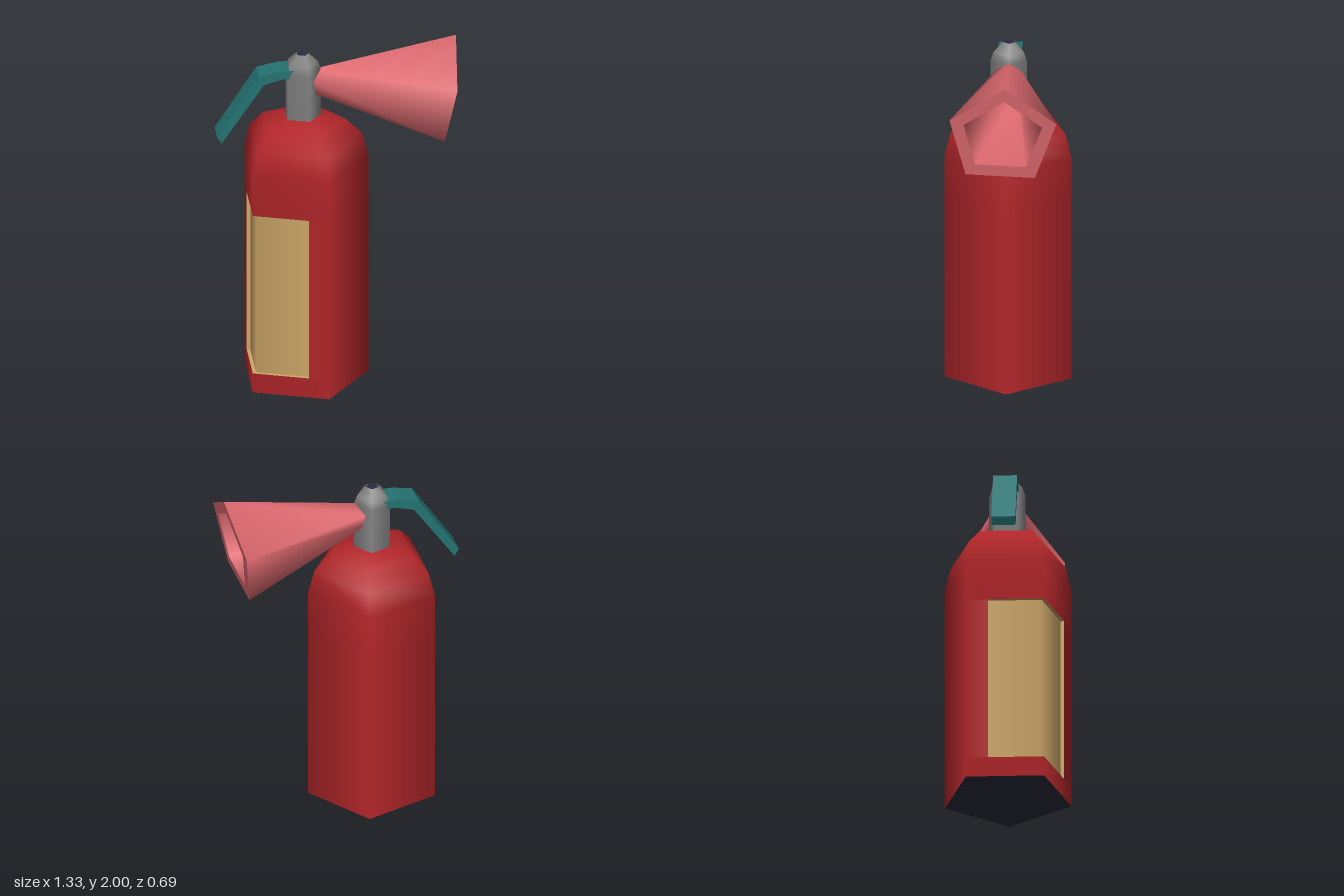
import * as THREE from 'three';

function material(name, color, side = THREE.FrontSide) {
  const m = new THREE.MeshStandardMaterial({ color, side });
  m.name = name;
  return m;
}

export function createModel() {
  const red = material('tank red', 0xb3262a);
  const tan = material('label tan', 0xcda668, THREE.DoubleSide);
  const grey = material('valve grey', 0x828282);
  const teal = material('handle teal', 0x247372);
  const pink = material('horn pink', 0xde6a70);
  const dark = material('cap dark', 0x2a2a40);

  const root = new THREE.Group();
  const body = new THREE.Group();
  body.name = 'body';
  body.position.x = -0.19;
  root.add(body);

  const add = (parent, name, geometry, mat) => {
    const mesh = new THREE.Mesh(geometry, mat);
    mesh.name = name;
    parent.add(mesh);
    return mesh;
  };
  // Five-sided turned part with one corner towards +x
  const turned = (profile) => new THREE.LatheGeometry(
    profile.map(([r, y]) => new THREE.Vector2(r, y)), 5, Math.PI / 2);

  // Upright strip through [x, z] points, optionally with radial normals
  const strip = (pts, y0, y1, radial) => {
    const pos = [], nor = [], idx = [];
    pts.forEach((p, i) => {
      pos.push(p.x, y0, p.y, p.x, y1, p.y);
      const n = p.clone().normalize();
      nor.push(n.x, 0, n.y, n.x, 0, n.y);
      if (i) {
        const b = 2 * i, a = b - 2;
        idx.push(a, b, b + 1, a, b + 1, a + 1);
      }
    });
    const g = new THREE.BufferGeometry();
    g.setAttribute('position', new THREE.Float32BufferAttribute(pos, 3));
    g.setIndex(idx);
    if (radial) g.setAttribute('normal', new THREE.Float32BufferAttribute(nor, 3));
    else g.computeVertexNormals();
    return g;
  };

  // Tank: full bands below and above the label recess
  const R = 0.365, depth = 0.02, low = 0.115, high = 1.07;
  add(body, 'tankBase', turned([[R, 0], [R, low]]), red);
  add(body, 'tankShoulder', turned([
    [R, high], [R, 1.31], [0.33, 1.44], [0.24, 1.53], [0.108, 1.57]]), red);
  add(body, 'tankBottom', new THREE.CircleGeometry(R, 5), dark).rotation.x = Math.PI / 2;

  // Tank middle, open around the front-right corner
  const polar = (r, deg) => new THREE.Vector2(r, 0).rotateAround(
    new THREE.Vector2(), THREE.MathUtils.degToRad(deg));
  const corner = polar(R, 144);
  const frontEdge = corner.clone().lerp(polar(R, 72), 0.735);
  const sideEdge = corner.clone().lerp(polar(R, 216), 0.715);
  add(body, 'tankMiddle', strip(
    [frontEdge, polar(R, 72), polar(R, 0), polar(R, -72), polar(R, 216), sideEdge],
    low, high, true), red);

  // Recessed label with its rim walls and ledges
  const frontInner = frontEdge.clone().sub(polar(depth, 108));
  const sideInner = sideEdge.clone().sub(polar(depth, 180));
  const cornerInner = polar(R - depth / Math.cos(Math.PI / 5), 144);
  add(body, 'label', strip([sideInner, cornerInner, frontInner], low, high, true), tan);
  add(body, 'labelSideWall', strip([sideEdge, sideInner], low, high, false), tan);
  add(body, 'labelFrontWall', strip([frontInner, frontEdge], low, high, false), tan);
  const ledge = new THREE.ShapeGeometry(new THREE.Shape(
    [frontEdge, corner, sideEdge, sideInner, cornerInner, frontInner]
      .map((p) => new THREE.Vector2(p.x, -p.y))));
  ledge.rotateX(-Math.PI / 2);
  for (const [name, y] of [['labelLowerLedge', low], ['labelUpperLedge', high]]) {
    add(body, name, ledge, tan).position.y = y;
  }

  // Valve neck with a domed top
  add(body, 'valve', turned([
    [0.105, 1.54], [0.105, 1.84], [0.088, 1.888], [0.035, 1.94]]), grey);
  const cap = add(body, 'valveCap', new THREE.CircleGeometry(0.035, 5), dark);
  cap.rotation.x = -Math.PI / 2;
  cap.position.y = 1.94;

  // Bent lever handle
  const lever = new THREE.Shape([
    [-0.22, 1.865], [-0.32, 1.865], [-0.435, 1.84], [-0.665, 1.485],
    [-0.64, 1.445], [-0.41, 1.785], [-0.31, 1.817], [-0.22, 1.817],
  ].map(([x, y]) => new THREE.Vector2(x, y)));
  const leverGeometry = new THREE.ExtrudeGeometry(lever, { depth: 0.132, bevelEnabled: false });
  leverGeometry.translate(0, 0, -0.067);
  add(root, 'handle', leverGeometry, teal);

  // Horn: five-sided flaring cone with a thick rim and hollow inside
  const mouth = [
    [0.66, 2.0, -0.02], [0.635, 1.8, 0.285], [0.575, 1.46, 0.2],
    [0.56, 1.44, -0.18], [0.61, 1.78, -0.3],
  ].map((p) => new THREE.Vector3(...p));
  const centre = new THREE.Vector3(0.608, 1.696, -0.003);
  const ring = (c, s) => mouth.map((p) => p.clone().sub(centre).multiplyScalar(s).add(c));
  const loft = (a, b) => {
    const g = new THREE.BufferGeometry().setFromPoints([...a, ...b]);
    const idx = [];
    for (let i = 0; i < 5; i++) {
      const j = (i + 1) % 5;
      idx.push(i, j, j + 5, i, j + 5, i + 5);
    }
    g.setIndex(idx);
    g.computeVertexNormals();
    return g;
  };
  const horn = new THREE.Group();
  horn.name = 'horn';
  root.add(horn);
  const inner = ring(centre, 0.735);
  const throatCentre = new THREE.Vector3(-0.06, 1.768, 0);
  const throat = ring(throatCentre, 0.27);
  add(horn, 'hornOuter', loft(ring(new THREE.Vector3(-0.16, 1.776, 0), 0.2), mouth), pink);
  add(horn, 'hornRim', loft(mouth, inner), pink);
  add(horn, 'hornInside', loft(inner, throat), pink);
  add(horn, 'hornThroat', loft(throat, ring(throatCentre, 0)), grey);

  return root;
}
